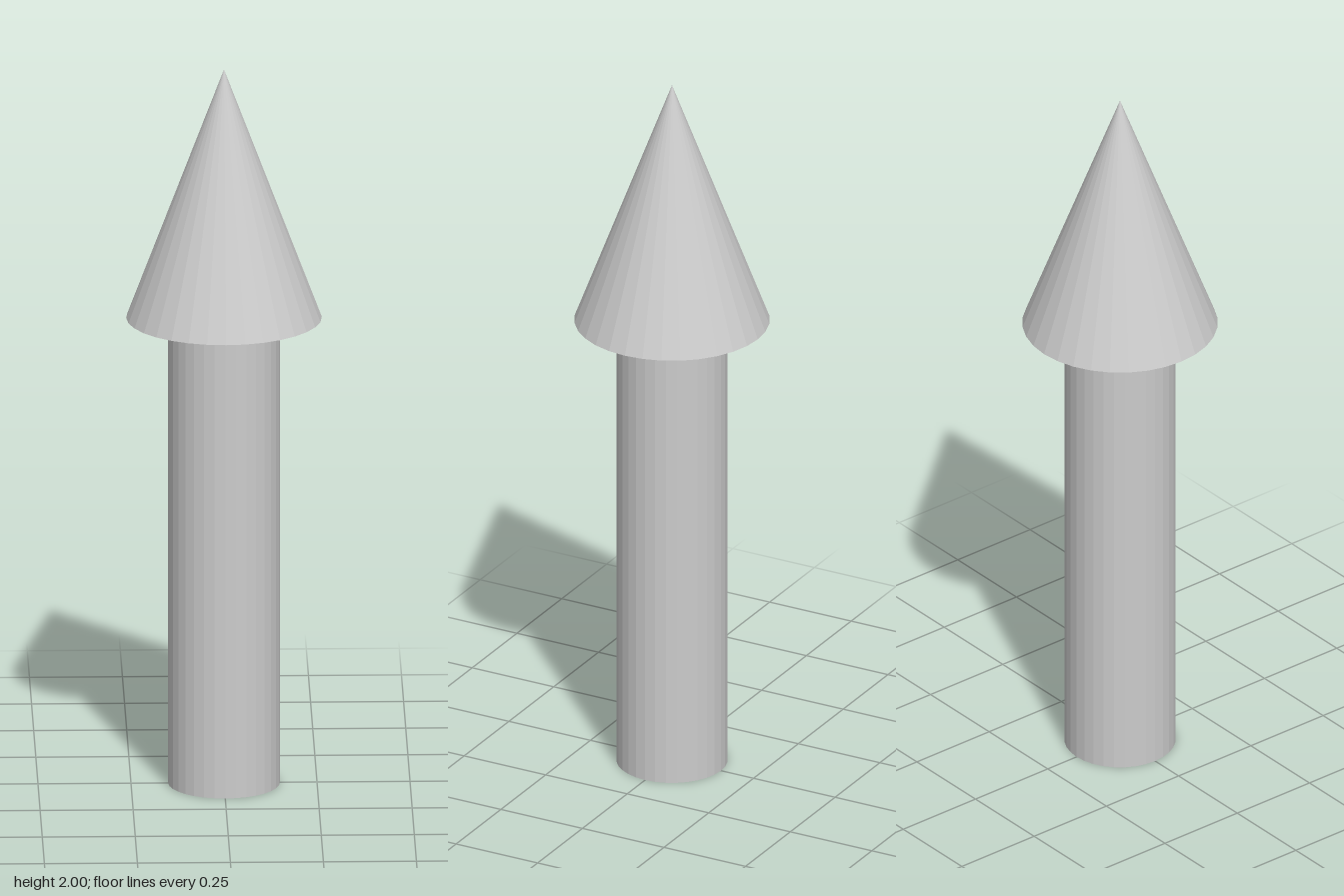
import * as THREE from 'three';

const SIDES = 32;
const HEIGHT = 2;
const HEAD_BASE = 1.305;
const HEAD_RADIUS = 0.263;
const SHAFT_RADIUS = 0.15;

export function createModel() {
  const group = new THREE.Group();
  group.name = 'arrow';
  const material = new THREE.MeshStandardMaterial({ color: 0xcccccc, flatShading: true });

  const addPart = (name, geometry, bottom, height) => {
    const mesh = new THREE.Mesh(geometry, material);
    mesh.name = name;
    mesh.position.y = bottom + height / 2;
    group.add(mesh);
  };

  // Straight round shaft standing on the ground
  addPart('shaft', new THREE.CylinderGeometry(SHAFT_RADIUS, SHAFT_RADIUS, HEAD_BASE, SIDES), 0, HEAD_BASE);

  // Pointed head with a flat underside
  const headHeight = HEIGHT - HEAD_BASE;
  addPart('head', new THREE.ConeGeometry(HEAD_RADIUS, headHeight, SIDES), HEAD_BASE, headHeight);

  return group;
}
